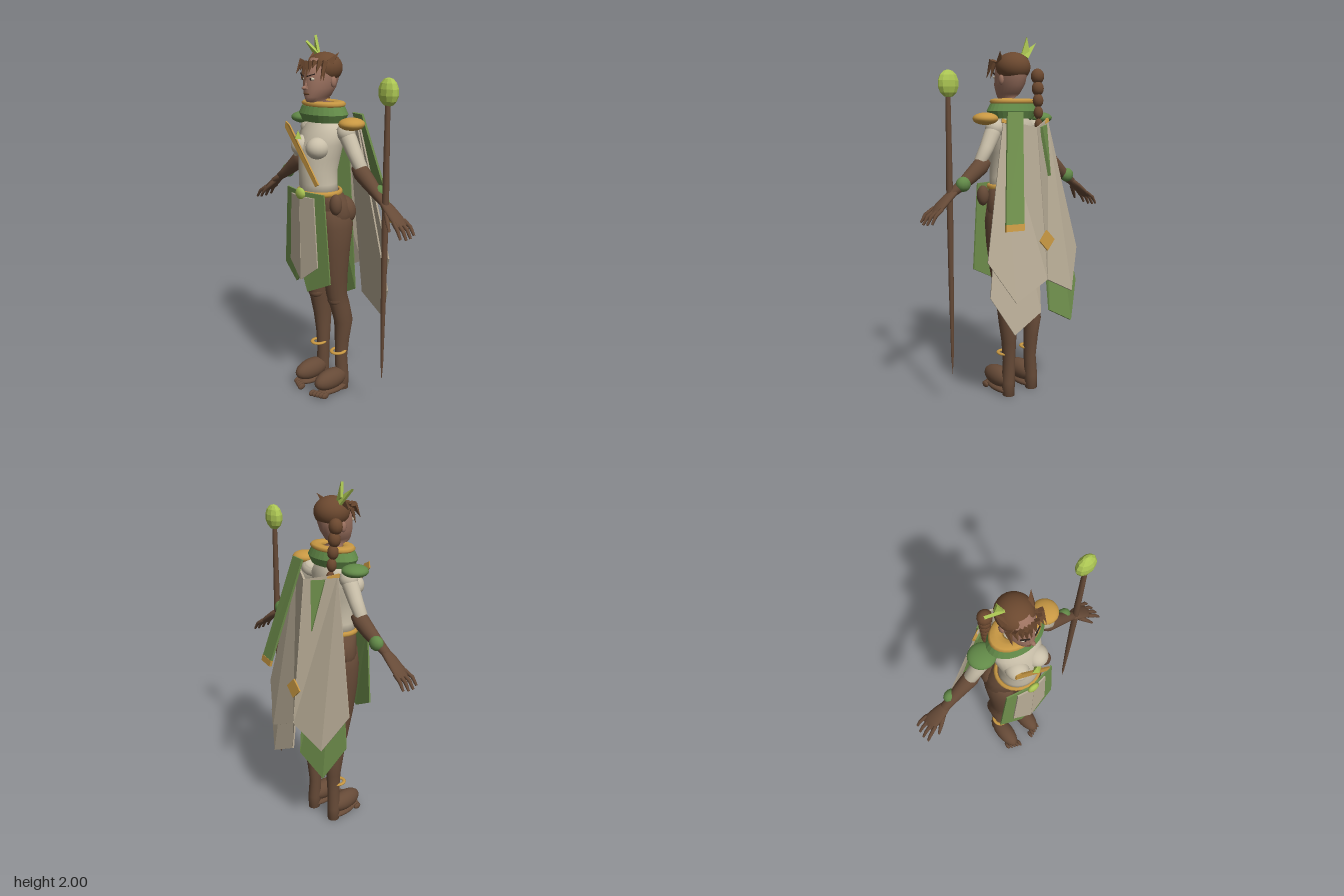
import * as THREE from 'three';

export function createModel() {
  const root = new THREE.Group();
  const mat = (name, color) => {
    const m = new THREE.MeshStandardMaterial({ color });
    m.name = name;
    return m;
  };
  const brown = mat('dark brown', 0x664a37);
  const hair = mat('hair brown', 0x6b482f);
  const skin = mat('face skin', 0x9c7260);
  const cream = mat('cream cloth', 0xc9bfa9);
  const cloak = mat('cloak beige', 0xb9ad97);
  const green = mat('leaf green', 0x6f8f4c);
  const moss = mat('moss green', 0x628a48);
  const gold = mat('gold', 0xc89843);
  const lime = mat('lime', 0xacc653);
  const dark = mat('eye dark', 0x2c211c);

  const add = (name, geo, material, pos = [0, 0, 0], scale = [1, 1, 1]) => {
    const m = new THREE.Mesh(geo, material);
    m.name = name;
    m.position.set(...pos);
    m.scale.set(...scale);
    root.add(m);
    return m;
  };
  const facet = (g) => {
    const f = g.index ? g.toNonIndexed() : g;
    f.computeVertexNormals();
    return f;
  };
  const ball = (name, material, pos, radii, seg = 20) =>
    add(name, new THREE.SphereGeometry(1, seg, Math.ceil(seg * 0.6)), material, pos, radii);
  const ring = (name, material, pos, radius, tube, scale, sides = 8) => {
    const g = new THREE.TorusGeometry(radius, tube, sides, 28);
    g.rotateX(Math.PI / 2);
    return add(name, g, material, pos, scale);
  };

  // Smooth closed skin through elliptical sections [x, y, z, halfWidth, halfDepth]
  const loft = (name, material, rows, sides = 18) => {
    const pos = [], idx = [], n = rows.length;
    rows.forEach((r, i) => {
      const p = rows[Math.max(0, i - 1)], q = rows[Math.min(n - 1, i + 1)];
      const len = Math.hypot(q[0] - p[0], q[1] - p[1]);
      const ux = (q[1] - p[1]) / len, uy = -(q[0] - p[0]) / len;
      for (let k = 0; k < sides; k++) {
        const a = (k / sides) * Math.PI * 2, c = Math.cos(a) * r[3];
        pos.push(r[0] + ux * c, r[1] + uy * c, r[2] + Math.sin(a) * r[4]);
      }
    });
    pos.push(...rows[0].slice(0, 3), ...rows[n - 1].slice(0, 3));
    for (let k = 0; k < sides; k++) {
      const l = (k + 1) % sides, e = (n - 1) * sides;
      for (let i = 0; i < n - 1; i++) {
        const a = i * sides + k, b = i * sides + l;
        idx.push(a, a + sides, b, b, a + sides, b + sides);
      }
      idx.push(n * sides, k, l, n * sides + 1, e + l, e + k);
    }
    const g = new THREE.BufferGeometry();
    g.setAttribute('position', new THREE.Float32BufferAttribute(pos, 3));
    g.setIndex(idx);
    g.computeVertexNormals();
    return add(name, g, material);
  };

  // Stiff cloth plate: a polygon in space with thickness
  const plate = (name, material, pts, thick = 0.009) => {
    const v = pts.map((p) => new THREE.Vector3(...p));
    const nrm = v[1].clone().sub(v[0]).cross(v[2].clone().sub(v[0])).normalize().multiplyScalar(thick / 2);
    const f = v.map((p) => p.clone().add(nrm)), b = v.map((p) => p.clone().sub(nrm));
    const out = [];
    for (let i = 1; i < v.length - 1; i++) out.push(f[0], f[i], f[i + 1], b[0], b[i + 1], b[i]);
    v.forEach((_, i) => {
      const j = (i + 1) % v.length;
      out.push(b[i], b[j], f[j], b[i], f[j], f[i]);
    });
    const g = new THREE.BufferGeometry().setFromPoints(out);
    g.computeVertexNormals();
    return add(name, g, material);
  };
  // Tapered spike between two points
  const spike = (name, material, from, to, r, sides = 4) => {
    const a = new THREE.Vector3(...from), d = new THREE.Vector3(...to).sub(a);
    const g = new THREE.ConeGeometry(r, d.length(), sides);
    g.translate(0, d.length() / 2, 0);
    g.applyQuaternion(new THREE.Quaternion().setFromUnitVectors(new THREE.Vector3(0, 1, 0), d.normalize()));
    return add(name, facet(g), material, from);
  };

  // Torso and hips
  loft('torso', cream, [
    [0, 1.17, 0.085, 0.11, 0.1], [0, 1.24, 0.09, 0.106, 0.102], [0, 1.31, 0.09, 0.104, 0.105],
    [0, 1.38, 0.08, 0.115, 0.11], [0, 1.45, 0.07, 0.13, 0.11], [0, 1.51, 0.055, 0.135, 0.095],
    [0, 1.55, 0.045, 0.11, 0.08], [0, 1.58, 0.04, 0.06, 0.06], [0, 1.62, 0.045, 0.045, 0.05]], 28);
  loft('hips', brown, [
    [0, 0.95, 0.04, 0.09, 0.06], [0, 1.0, 0.04, 0.15, 0.1], [0, 1.08, 0.038, 0.17, 0.112],
    [0, 1.14, 0.05, 0.15, 0.115], [0, 1.2, 0.08, 0.115, 0.104]], 28);
  ring('belt', gold, [0, 1.19, 0.08], 0.118, 0.012, [1, 1.3, 0.92]);
  ball('beltPouch', brown, [0.162, 1.145, 0.11], [0.034, 0.056, 0.034]);

  for (const s of [1, -1]) {
    ball('chest', cream, [s * 0.06, 1.435, 0.145], [0.06, 0.058, 0.066]);
    ball('buttock', brown, [s * 0.08, 1.08, -0.01], [0.085, 0.085, 0.07]);

    // Legs and feet
    loft('leg', brown, [
      [s * 0.085, 0.0, -0.015, 0.034, 0.035], [s * 0.085, 0.08, -0.012, 0.036, 0.04],
      [s * 0.078, 0.2, -0.01, 0.033, 0.038], [s * 0.082, 0.32, -0.014, 0.039, 0.046],
      [s * 0.09, 0.43, -0.016, 0.047, 0.058], [s * 0.086, 0.53, 0.008, 0.046, 0.062],
      [s * 0.083, 0.6, 0.03, 0.049, 0.064], [s * 0.088, 0.72, 0.043, 0.057, 0.075],
      [s * 0.092, 0.88, 0.048, 0.07, 0.09], [s * 0.095, 1.0, 0.043, 0.076, 0.1],
      [s * 0.085, 1.1, 0.04, 0.07, 0.1]]);
    ball('kneeCap', brown, [s * 0.083, 0.57, 0.035], [0.046, 0.04, 0.05]);
    ring('anklet', gold, [s * 0.085, 0.245, 0.03 - 0.01], 0.036, 0.01, [1, 0.7, 1.1]);
    ball('shoeTop', brown, [s * 0.085, 0.087, 0.077], [0.054, 0.06, 0.115]);
    ball('sole', brown, [s * 0.085, 0.024, 0.06], [0.047, 0.024, 0.11]);
    for (let i = 0; i < 5; i++)
      ball('toe', brown, [s * (0.048 + i * 0.019), 0.02, 0.185 - i * 0.008], [0.011, 0.018, 0.026], 10);

    // Arms
    ball('shoulder', cream, [s * 0.145, 1.515, 0.025], [0.05, 0.05, 0.05]);
    loft('upperArm', cream, [
      [s * 0.13, 1.54, 0.025, 0.04, 0.045], [s * 0.165, 1.48, 0.022, 0.044, 0.044],
      [s * 0.205, 1.41, 0.018, 0.038, 0.04], [s * 0.25, 1.34, 0.014, 0.034, 0.036]]);
    loft('forearm', brown, [
      [s * 0.215, 1.345, 0.012, 0.03, 0.034], [s * 0.25, 1.318, 0.012, 0.046, 0.044],
      [s * 0.31, 1.272, 0.012, 0.04, 0.038], [s * 0.37, 1.228, 0.015, 0.031, 0.03],
      [s * 0.43, 1.188, 0.018, 0.021, 0.026]]);
    ball('elbowGuard', moss, [s * 0.372, 1.232, 0.0], [0.042, 0.04, 0.034], 12);
    loft('palm', brown, [
      [s * 0.41, 1.2, 0.018, 0.019, 0.025], [s * 0.46, 1.165, 0.018, 0.019, 0.038],
      [s * 0.51, 1.125, 0.016, 0.017, 0.044], [s * 0.545, 1.095, 0.014, 0.01, 0.038]]);
    for (let i = 0; i < 4; i++) {
      const z = -0.022 + i * 0.025, e = Math.abs(i - 1.6) * 0.008;
      loft('finger', brown, [
        [s * 0.52, 1.117, z, 0.011, 0.012], [s * (0.575 - e), 1.075 + e, z * 1.25, 0.01, 0.01],
        [s * (0.6 - e), 1.035 + e, z * 1.35, 0.006, 0.007]], 8);
    }
    loft('thumb', brown, [
      [s * 0.455, 1.16, 0.04, 0.014, 0.016], [s * 0.495, 1.115, 0.067, 0.011, 0.012],
      [s * 0.525, 1.075, 0.084, 0.006, 0.007]], 8);

    // Cloak: long under layer and shorter upper layer, with gold shoulder piping
    plate('cloakUnderPanel', s > 0 ? cloak : green, [
      [s * 0.15, 1.54, -0.057], [s * 0.31, 0.64, -0.142], [s * 0.205, 0.435, -0.215],
      [s * 0.03, 0.53, -0.225], [s * 0.005, 1.5, -0.135]]);
    plate('cloakUpperPanel', cloak, [
      [s * 0.155, 1.56, -0.062], [s * 0.32, 0.83, -0.135], [s * 0.2, 0.61, -0.222],
      [0, 0.71, -0.243], [0, 1.52, -0.153]]);
    plate('cloakPiping', gold, [
      [s * 0.16, 1.566, -0.058], [s * 0.165, 1.545, -0.062], [s * 0.11, 1.535, -0.095], [s * 0.11, 1.545, -0.09]], 0.014);

    // Front tabard side panel and folded centre panel
    const low = s > 0 ? 0 : 0.04;
    const tz = (x, o) => 0.208 - 0.2 * Math.abs(x) + o;
    plate('tabardSide', green, [
      [s * 0.148, 1.205, tz(0.148, 0)], [s * 0.187, 0.72 + low, tz(0.187, 0)],
      [s * (0.035 + low / 2), 0.645 + low, tz(0.04, 0)], [s * 0.005, 0.74, tz(0.005, 0)], [0, 1.205, tz(0, 0)]]);
    plate('tabardCentre', cloak, [
      [s * 0.09, 1.18, tz(0.09, 0.009)], [s * 0.112, 0.8, tz(0.112, 0.009)],
      [0, 0.71, tz(0, 0.009)], [0, 1.18, tz(0, 0.009)]]);

    // Face and hair tufts
    ball('eye', cream, [s * 0.033, 1.787, 0.156], [0.016, 0.008, 0.012], 12);
    ball('iris', dark, [s * 0.033, 1.787, 0.165], [0.006, 0.007, 0.005], 10);
    plate('brow', dark, [
      [s * 0.015, 1.803, 0.176], [s * 0.056, 1.816, 0.157], [s * 0.056, 1.811, 0.157], [s * 0.015, 1.797, 0.176]], 0.006);
    ball('ear', skin, [s * 0.078, 1.77, 0.05], [0.012, 0.028, 0.018], 12);
    spike('hairTuft', hair, [s * 0.07, 1.865, 0.07], [s * 0.1, 1.92, 0.03], 0.025);
    spike('sideLock', hair, [s * 0.075, 1.86, 0.11], [s * 0.09, 1.775, 0.13], 0.016);
  }

  // Head
  loft('head', skin, [
    [0, 1.6, 0.045, 0.045, 0.05], [0, 1.662, 0.065, 0.043, 0.06], [0, 1.672, 0.105, 0.03, 0.06],
    [0, 1.695, 0.09, 0.052, 0.08], [0, 1.74, 0.077, 0.072, 0.096], [0, 1.79, 0.065, 0.077, 0.104],
    [0, 1.84, 0.058, 0.077, 0.104], [0, 1.89, 0.05, 0.055, 0.07]], 24);
  spike('nose', skin, [0, 1.738, 0.165], [0, 1.79, 0.168], 0.018, 6);
  ball('noseTip', skin, [0, 1.742, 0.178], [0.012, 0.01, 0.018], 10);
  ball('lips', hair, [0, 1.712, 0.165], [0.022, 0.008, 0.009], 12);
  ball('hairCap', hair, [0, 1.838, 0.043], [0.093, 0.08, 0.096], 24);
  for (let i = 0; i < 9; i++) {
    const x = -0.088 + i * 0.022;
    spike('fringe', hair, [x, 1.875, 0.155 - 5 * x * x],
      [x * 1.1, 1.805 + 0.035 * Math.sin(i * 1.3), 0.172 - 2 * x * x], 0.018);
  }
  // Braid over the right shoulder
  for (let i = 0; i < 6; i++)
    ball('braid', hair, [-0.108 + i * 0.003, 1.79 - i * 0.065, -0.035 - i * 0.006],
      [0.038 - i * 0.004, 0.042 - i * 0.002, 0.036 - i * 0.003], 12);
  spike('braidEnd', hair, [-0.09, 1.46, -0.065], [-0.085, 1.38, -0.065], 0.018, 6);
  // Leaves in the hair
  plate('hairLeaf', lime, [[-0.155, 1.97, 0.035], [-0.085, 1.885, 0.02], [-0.05, 1.91, 0.04]], 0.014);
  plate('hairLeaf', lime, [[-0.085, 2.0, 0.03], [-0.095, 1.925, 0.02], [-0.045, 1.89, 0.035]], 0.014);

  // Collar and shoulder pads
  const collar = ring('collar', moss, [0, 1.605, 0.052], 0.112, 0.044, [1, 1.05, 0.68], 6);
  collar.geometry = facet(collar.geometry);
  ring('collarRim', gold, [0, 1.656, 0.05], 0.1, 0.04, [1, 0.4, 0.7]);
  ball('rightShoulderPad', moss, [-0.183, 1.565, 0.032], [0.072, 0.032, 0.07]);
  ball('leftShoulderPad', gold, [0.198, 1.565, 0.034], [0.068, 0.033, 0.07]);

  // Chest strap, gem and buckle
  plate('chestStrap', gold, [
    [-0.115, 1.565, 0.212], [-0.12, 1.53, 0.212], [0.1, 1.245, 0.194], [0.122, 1.258, 0.192], [-0.085, 1.55, 0.212]]);
  add('chestGem', facet(new THREE.ConeGeometry(1, 1, 4)), lime, [0, 1.51, 0.225], [0.027, 0.045, 0.02]);
  ball('buckle', lime, [0, 1.195, 0.215], [0.036, 0.032, 0.018], 10);

  // Cloak trims: green sash with gold hem, leaf and diamond
  plate('cloakSash', green, [
    [0.06, 1.6, -0.108], [0.15, 1.6, -0.09], [0.27, 1.03, -0.222], [0.17, 1.03, -0.248]], 0.012);
  plate('sashHem', gold, [
    [0.168, 1.035, -0.248], [0.27, 1.035, -0.222], [0.275, 1.0, -0.228], [0.174, 1.0, -0.254]], 0.014);
  plate('cloakLeaf', green, [[-0.105, 1.53, -0.105], [-0.04, 1.52, -0.142], [-0.075, 1.26, -0.172]], 0.018);
  plate('cloakDiamond', gold, [
    [0, 0.98, -0.234], [0.052, 0.925, -0.238], [0, 0.87, -0.242], [-0.052, 0.925, -0.238]]);

  // Staff with a faceted orb
  const profile = [[0, 0.2], [0.007, 0.3], [0.014, 0.7], [0.018, 1.2], [0.013, 1.7], [0, 1.71]];
  add('staff', new THREE.LatheGeometry(profile.map(([r, y]) => new THREE.Vector2(r, y)), 10), brown, [0.44, 0, 0.026]);
  add('staffOrb', facet(new THREE.SphereGeometry(1, 10, 7)), lime, [0.44, 1.743, 0.022], [0.06, 0.07, 0.038]);
  return root;
}
